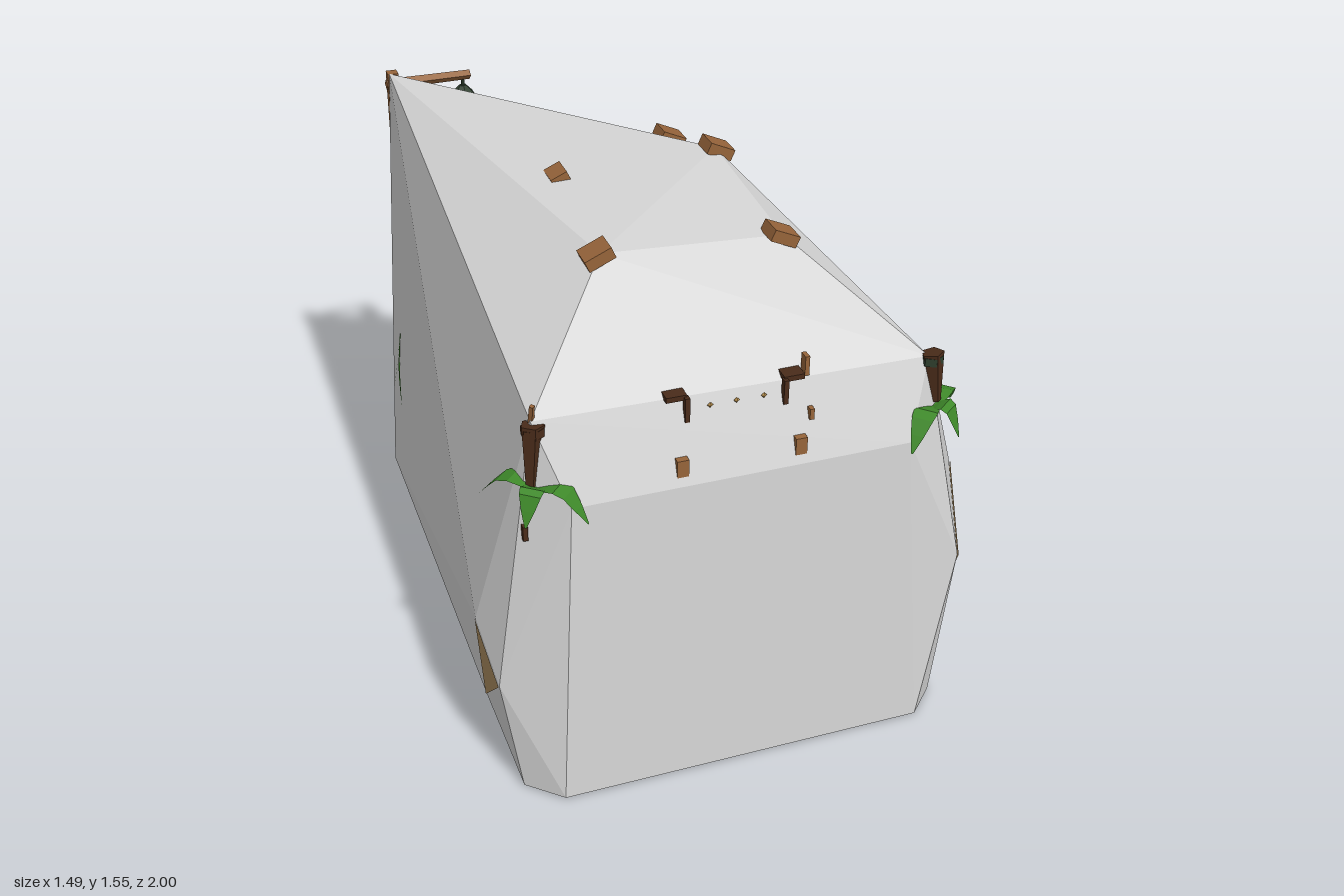
import * as THREE from 'three';
import { ConvexGeometry } from 'three/addons/geometries/ConvexGeometry.js';

const V = (a) => new THREE.Vector3(...a);
const paint = (name, color, extra = {}) => {
  const m = new THREE.MeshStandardMaterial({ color, flatShading: true, ...extra });
  m.name = name;
  return m;
};

export function createModel() {
  const root = new THREE.Group();
  root.name = 'boulderHut';
  const stone = paint('pale stone', 0xd2d2d2);
  const earth = paint('tan patch', 0xa88a5e, { side: THREE.DoubleSide });
  const wood = paint('light wood', 0x96643a);
  const bark = paint('dark wood', 0x4a2c1a);
  const leafGreen = paint('leaf green', 0x3f8a2a, { side: THREE.DoubleSide });
  const moss = paint('dark moss', 0x2f3f2e);
  const dark = paint('underside', 0x1c211a);
  const gold = paint('brass', 0xb08a4a);

  const add = (name, geo, mat, pos = [0, 0, 0], rot = [0, 0, 0], parent = root) => {
    const m = new THREE.Mesh(geo, mat);
    m.name = name;
    m.position.set(...pos);
    m.rotation.set(...rot);
    parent.add(m);
    return m;
  };
  const box = (name, size, mat, pos, rot, parent) =>
    add(name, new THREE.BoxGeometry(...size), mat, pos, rot, parent);
  // Tapered beam between two points
  const beam = (name, a, b, r0, r1, mat, sides = 4, parent = root) => {
    const p = V(a), q = V(b), d = q.clone().sub(p);
    const m = add(name, new THREE.CylinderGeometry(r1, r0, d.length(), sides), mat,
      p.clone().add(q).multiplyScalar(0.5).toArray(), [0, 0, 0], parent);
    m.quaternion.setFromUnitVectors(new THREE.Vector3(0, 1, 0), d.normalize());
    return m;
  };
  // Pointed ribbon that follows a path
  const blade = (name, pts, side, width, parent = root) => {
    const curve = new THREE.CatmullRomCurve3(pts.map(V));
    const s = V(side).normalize(), n = 5, pos = [], idx = [];
    for (let i = 0; i <= n; i++) {
      const p = curve.getPoint(i / n);
      const w = width * (0.08 + Math.sin(Math.PI * (0.15 + 0.85 * i / n)));
      for (const k of [-0.5, 0.5]) pos.push(...p.clone().addScaledVector(s, k * w).toArray());
      if (i < n) idx.push(2 * i, 2 * i + 1, 2 * i + 2, 2 * i + 1, 2 * i + 3, 2 * i + 2);
    }
    const g = new THREE.BufferGeometry();
    g.setAttribute('position', new THREE.Float32BufferAttribute(pos, 3));
    g.setIndex(idx);
    g.computeVertexNormals();
    return add(name, g, leafGreen, [0, 0, 0], [0, 0, 0], parent);
  };

  // Faceted shell: chamfered base, bulging sides and a crooked roof
  const base = [[-0.57, 1], [0.55, 1], [0.64, 0.91], [0.64, -0.91],
    [0.54, -1], [-0.57, -1], [-0.67, -0.91], [-0.67, 0.91]];
  const rightPatch = [[0.68, 0.53, 0.93], [0.74, 0.28, 0.77], [0.74, 0.73, 0.72]];
  const leftPatch = [[-0.72, 0.36, 0.87], [-0.745, 0.5, 0.72], [-0.732, 0.24, 0.75]];
  const points = [
    ...base.map(([x, z]) => [x, 0.003, z]), ...rightPatch, ...leftPatch,
    [-0.51, 0.965, 0.925], [0.49, 0.965, 0.925],
    [-0.59, 1.2, 0.83], [0.575, 1.18, 0.83],
    [-0.28, 1.47, 0.47], [0.27, 1.44, 0.47], [0.24, 1.52, 0],
    [0.27, 1.36, -0.46], [0.59, 0.97, -0.845], [-0.59, 1.55, -0.85],
    [0.5, 0.68, -0.945],
  ];
  add('stoneShell', new ConvexGeometry(points.map(V)), stone);

  const floor = new THREE.Shape(base.map(([x, z]) => new THREE.Vector2(x, z)));
  add('underside', new THREE.ShapeGeometry(floor), dark, [0, 0, 0], [Math.PI / 2, 0, 0]);

  // Bare earth patches on the lower corners
  for (const [name, tri, dx] of [['rightPatch', rightPatch, 0.003], ['leftPatch', leftPatch, -0.003]]) {
    const g = new THREE.BufferGeometry().setFromPoints(tri.map((p) => V([p[0] + dx, p[1], p[2] + 0.003])));
    g.computeVertexNormals();
    add(name, g, earth);
  }

  // Wooden blocks on the roof
  for (const [x, y, z, tilt] of [[-0.29, 1.47, 0.47, 0.42], [-0.262, 1.5, 0, 0.42],
    [0.245, 1.52, 0, -0.42], [0.262, 1.445, 0.47, -0.42], [0.258, 1.37, -0.46, -0.42]]) {
    box('roofBlock', z === 0 && x < 0 ? [0.055, 0.036, 0.08] : [0.085, 0.036, 0.08], wood, [x, y, z], [0, 0, tilt]);
  }

  // Window frame pieces breaking through the front band
  for (const [side, cx] of [[-1, -0.16], [1, 0.128]]) {
    box('frameTop', [0.06, 0.016, 0.05], bark, [cx + side * 0.028, 1.2, 0.825]);
    box('framePost', [0.014, 0.075, 0.02], bark, [cx, 1.165, 0.852]);
    box('sillBlock', [0.034, 0.055, 0.03], wood, [cx + side * 0.03, 1.015, 0.9]);
  }
  for (const x of [-0.092, -0.015, 0.065]) {
    add('brassStud', new THREE.OctahedronGeometry(0.009), gold, [x, 1.165, 0.852]);
  }
  box('shutterTop', [0.013, 0.06, 0.03], wood, [0.198, 1.222, 0.822]);
  box('shutterBottom', [0.013, 0.034, 0.02], wood, [0.198, 1.095, 0.876]);

  // Front corner posts with drooping leaves
  for (const s of [-1, 1]) {
    const x = s * 0.585, y = s < 0 ? 1.01 : 1.03;
    const corner = new THREE.Group();
    corner.name = s < 0 ? 'leftFrontCorner' : 'rightFrontCorner';
    root.add(corner);
    beam('cornerPost', [x - s * -0.015, s < 0 ? 0.96 : 1.04, 0.85], [x, 1.19, 0.83], 0.014, 0.034, bark, 5, corner);
    add('postCap', new THREE.CylinderGeometry(0.033, 0.033, 0.025, 6), s < 0 ? bark : moss, [x, 1.17, 0.83], [0, 0, 0], corner);
    const tips = [[0.715, 0.73], [0.475, 0.965], [0.64, 0.93]];
    for (const [tx, tz] of tips) {
      const dx = s * tx - x, dz = tz - 0.86;
      blade('leaf', [[x, y, 0.86], [x + dx * 0.5, y + 0.02, 0.865 + dz * 0.5], [s * tx, y - 0.075, tz]],
        [-dz, 0, dx], 0.065, corner);
    }
  }
  box('splinter', [0.014, 0.045, 0.02], bark, [-0.625, 0.87, 0.86]);
  beam('cornerStick', [-0.585, 1.16, 0.81], [-0.585, 1.25, 0.835], 0.01, 0.008, wood);

  // Rear right post with band, peg and hanging root
  beam('rearPost', [0.61, 0.6, -0.845], [0.595, 0.97, -0.845], 0.034, 0.04, bark, 6);
  add('rearPostBand', new THREE.CylinderGeometry(0.044, 0.044, 0.014, 6), wood, [0.602, 0.8, -0.845]);
  beam('rearPeg', [0.625, 0.65, -0.88], [0.64, 0.69, -0.71], 0.026, 0.016, bark);
  beam('hangingRoot', [0.64, 0.33, -0.84], [0.62, 0.64, -0.845], 0.004, 0.022, moss, 5);

  // Vines on both long walls
  blade('rightVine', [[0.645, 0.69, -0.58], [0.65, 0.59, -0.585], [0.662, 0.5, -0.635], [0.66, 0.38, -0.6]],
    [0.3, 0.25, 1], 0.05);
  blade('leftVineFront', [[-0.65, 0.65, -0.7], [-0.665, 0.52, -0.69], [-0.675, 0.4, -0.64]], [-0.3, 0.2, 1], 0.04);
  blade('leftVineBack', [[-0.65, 0.65, -0.7], [-0.665, 0.52, -0.72], [-0.67, 0.42, -0.77]], [-0.3, -0.2, 1], 0.04);

  // Lantern on a bracket at the rear peak
  const bracket = new THREE.Group();
  bracket.name = 'lanternBracket';
  root.add(bracket);
  box('lanternPost', [0.035, 0.34, 0.035], wood, [-0.578, 1.38, -0.868], [0.04, 0, 0], bracket);
  beam('lanternArm', [-0.6, 1.51, -0.86], [-0.31, 1.5, -0.888], 0.018, 0.016, wood, 4, bracket);
  beam('lanternBrace', [-0.57, 1.38, -0.875], [-0.47, 1.495, -0.875], 0.012, 0.012, wood, 4, bracket);
  for (const [name, r0, r1, h, y, mat] of [['lanternHook', 0.006, 0.006, 0.04, 1.48, moss],
    ['lanternRoof', 0.012, 0.042, 0.03, 1.45, moss], ['lanternBody', 0.029, 0.029, 0.07, 1.4, wood],
    ['lanternBase', 0.036, 0.03, 0.018, 1.357, moss]]) {
    add(name, new THREE.CylinderGeometry(r0, r1, h, 6), mat, [-0.335, y, -0.888], [0, 0, 0], bracket);
  }
  for (let i = 0; i < 6; i++) {
    const a = i * Math.PI / 3;
    box('lanternBar', [0.006, 0.075, 0.006], moss,
      [-0.335 + Math.sin(a) * 0.03, 1.4, -0.888 + Math.cos(a) * 0.03], [0, a, 0], bracket);
  }
  return root;
}
